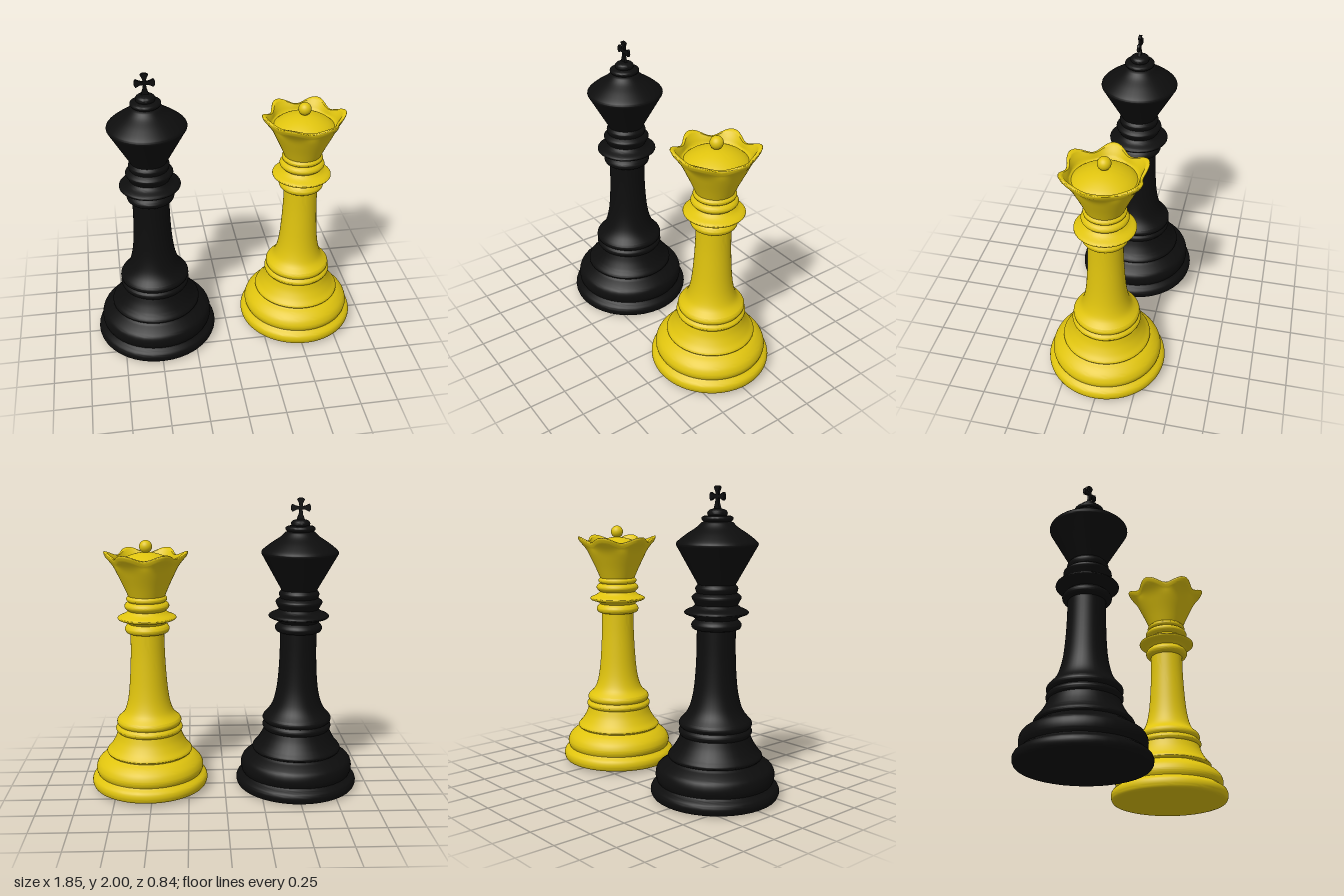
import * as THREE from 'three';
import { mergeVertices, toCreasedNormals } from 'three/addons/utils/BufferGeometryUtils.js';

// Profile from runs of [radius, height]; each run is a smooth curve, runs meet at sharp grooves
function profile(runs) {
  const pts = [];
  runs.forEach((run) => {
    const v = run.map(([r, y]) => new THREE.Vector2(r, y));
    const smooth = v.length > 2 ? new THREE.SplineCurve(v).getPoints((v.length - 1) * 4) : v;
    smooth.forEach((p) => {
      p.x = Math.max(p.x, 0);
      if (!pts.length || pts[pts.length - 1].distanceTo(p) > 1e-4) pts.push(p);
    });
  });
  return pts;
}

// Turned solid, optionally reshaped by a rule before its normals are made
function turned(runs, sides, reshape) {
  let geo = new THREE.LatheGeometry(profile(runs), sides);
  geo.deleteAttribute('normal');
  geo.deleteAttribute('uv');
  if (reshape) reshape(geo.attributes.position);
  geo = mergeVertices(geo, 1e-5);
  return toCreasedNormals(geo, 0.75);
}

function add(group, name, geo, material) {
  const mesh = new THREE.Mesh(geo, material);
  mesh.name = name;
  group.add(mesh);
  return mesh;
}

// Cross with four flared arms, the lower one longer
function crossGeometry() {
  const arm = [[0.01, 0.01], [0.013, 0.03], [0.026, 0.056], [0.012, 0.065]];
  const s = new THREE.Shape();
  for (let i = 0; i < 4; i++) {
    const a = -i * Math.PI / 2;
    const long = i === 2 ? 1.35 : 1;
    const side = [...arm.map(([x, y]) => [-x, y]), ...arm.slice().reverse()];
    side.forEach(([x, y], k) => {
      const d = y > 0.02 ? y * long : y;
      const px = x * Math.cos(a) - d * Math.sin(a);
      const py = x * Math.sin(a) + d * Math.cos(a);
      if (i === 0 && k === 0) s.moveTo(px, py);
      else s.lineTo(px, py);
    });
  }
  const geo = new THREE.ExtrudeGeometry(s, { depth: 0.018, bevelEnabled: false });
  geo.translate(0, 0, -0.009);
  return geo;
}

function king(material) {
  const g = new THREE.Group();
  g.name = 'king';
  const base = [
    [[0, 0], [0.375, 0]],
    [[0.375, 0], [0.408, 0.012], [0.42, 0.045], [0.41, 0.075], [0.383, 0.095]],
    [[0.375, 0.105], [0.386, 0.13], [0.387, 0.165], [0.375, 0.2], [0.345, 0.225], [0.305, 0.25]],
    [[0.295, 0.26], [0.306, 0.272], [0.302, 0.288], [0.275, 0.32], [0.245, 0.37], [0.226, 0.415]],
    [[0.226, 0.415], [0.236, 0.43], [0.236, 0.448], [0.222, 0.466]],
    [[0.222, 0.466], [0.235, 0.48], [0.236, 0.498], [0.225, 0.515]],
  ];
  add(g, 'kingBase', turned(base, 40), material);
  const column = [
    [[0.225, 0.515], [0.19, 0.555], [0.164, 0.61], [0.143, 0.7], [0.131, 0.82], [0.125, 0.96], [0.124, 1.1]],
    [[0.124, 1.1], [0.15, 1.108], [0.16, 1.13], [0.152, 1.15], [0.132, 1.168]],
    [[0.132, 1.168], [0.155, 1.185], [0.195, 1.2], [0.205, 1.212], [0.193, 1.225], [0.155, 1.242], [0.135, 1.26]],
    [[0.135, 1.26], [0.146, 1.28], [0.158, 1.305], [0.15, 1.32], [0.128, 1.335]],
    [[0.128, 1.335], [0.135, 1.355], [0.134, 1.37], [0.12, 1.388]],
  ];
  add(g, 'kingColumn', turned(column, 40), material);
  const head = [
    [[0.12, 1.388], [0.25, 1.62]],
    [[0.25, 1.62], [0.259, 1.64], [0.245, 1.662], [0.19, 1.705], [0.13, 1.745], [0.1, 1.775]],
    [[0.085, 1.78], [0.097, 1.79], [0.098, 1.806], [0.085, 1.815]],
    [[0.06, 1.818], [0.064, 1.835], [0.05, 1.852], [0.02, 1.86], [0, 1.861]],
  ];
  add(g, 'kingHead', turned(head, 40), material);
  add(g, 'kingCross', crossGeometry(), material).position.y = 1.935;
  return g;
}

function queen(material) {
  const g = new THREE.Group();
  g.name = 'queen';
  const base = [
    [[0, 0.016], [0.36, 0.016]],
    [[0.36, 0.016], [0.39, 0.026], [0.402, 0.058], [0.395, 0.09], [0.368, 0.112]],
    [[0.362, 0.118], [0.371, 0.14], [0.371, 0.165], [0.355, 0.2], [0.32, 0.232], [0.288, 0.25]],
    [[0.282, 0.255], [0.294, 0.266], [0.293, 0.278], [0.265, 0.31], [0.236, 0.36], [0.219, 0.41]],
    [[0.219, 0.41], [0.23, 0.425], [0.229, 0.44], [0.212, 0.458]],
    [[0.212, 0.458], [0.221, 0.473], [0.221, 0.49], [0.212, 0.505]],
  ];
  add(g, 'queenBase', turned(base, 72), material);
  const column = [
    [[0.212, 0.505], [0.172, 0.545], [0.148, 0.61], [0.133, 0.7], [0.123, 0.82], [0.116, 0.96], [0.114, 1.1]],
    [[0.114, 1.1], [0.14, 1.108], [0.151, 1.13], [0.144, 1.15], [0.126, 1.167]],
    [[0.126, 1.167], [0.148, 1.183], [0.187, 1.195], [0.198, 1.207], [0.187, 1.218], [0.15, 1.235], [0.126, 1.255]],
    [[0.126, 1.255], [0.143, 1.27], [0.151, 1.287], [0.142, 1.305], [0.125, 1.316]],
    [[0.125, 1.316], [0.136, 1.328], [0.136, 1.342], [0.124, 1.355]],
  ];
  add(g, 'queenColumn', turned(column, 72), material);
  // Flared crown: round at the neck, six-pointed and wavy at the rim, with a domed floor
  const crown = [
    [[0.124, 1.355], [0.152, 1.42], [0.185, 1.49], [0.219, 1.56], [0.247, 1.6]],
    [[0.247, 1.6], [0.258, 1.625], [0.253, 1.634], [0.236, 1.63]],
    [[0.236, 1.63], [0.222, 1.605], [0.21, 1.58], [0.198, 1.572]],
    [[0.198, 1.572], [0.165, 1.598], [0.11, 1.625], [0.05, 1.642], [0, 1.646]],
  ];
  const wave = (pos) => {
    for (let i = 0; i < pos.count; i++) {
      const x = pos.getX(i), y = pos.getY(i), z = pos.getZ(i);
      const r = Math.hypot(x, z);
      const w = THREE.MathUtils.smoothstep(r, 0.2, 0.25) * THREE.MathUtils.smoothstep(y, 1.45, 1.62);
      const c = Math.cos(6 * Math.atan2(z, x)) * w;
      const k = r > 1e-6 ? (r + 0.023 * c) / r : 1;
      pos.setXYZ(i, x * k, y + 0.019 * c, z * k);
    }
  };
  add(g, 'queenCrown', turned(crown, 72, wave), material);
  add(g, 'queenFinial', new THREE.SphereGeometry(0.043, 32, 20), material).position.y = 1.684;
  return g;
}

export function createModel() {
  const black = new THREE.MeshStandardMaterial({ color: 0x0d0d0d });
  black.name = 'black';
  const yellow = new THREE.MeshStandardMaterial({ color: 0xe0c40e });
  yellow.name = 'yellow';
  const model = new THREE.Group();
  model.name = 'chessPair';
  const k = king(black);
  k.position.x = -0.505;
  const q = queen(yellow);
  q.position.x = 0.522;
  model.add(k, q);
  return model;
}
